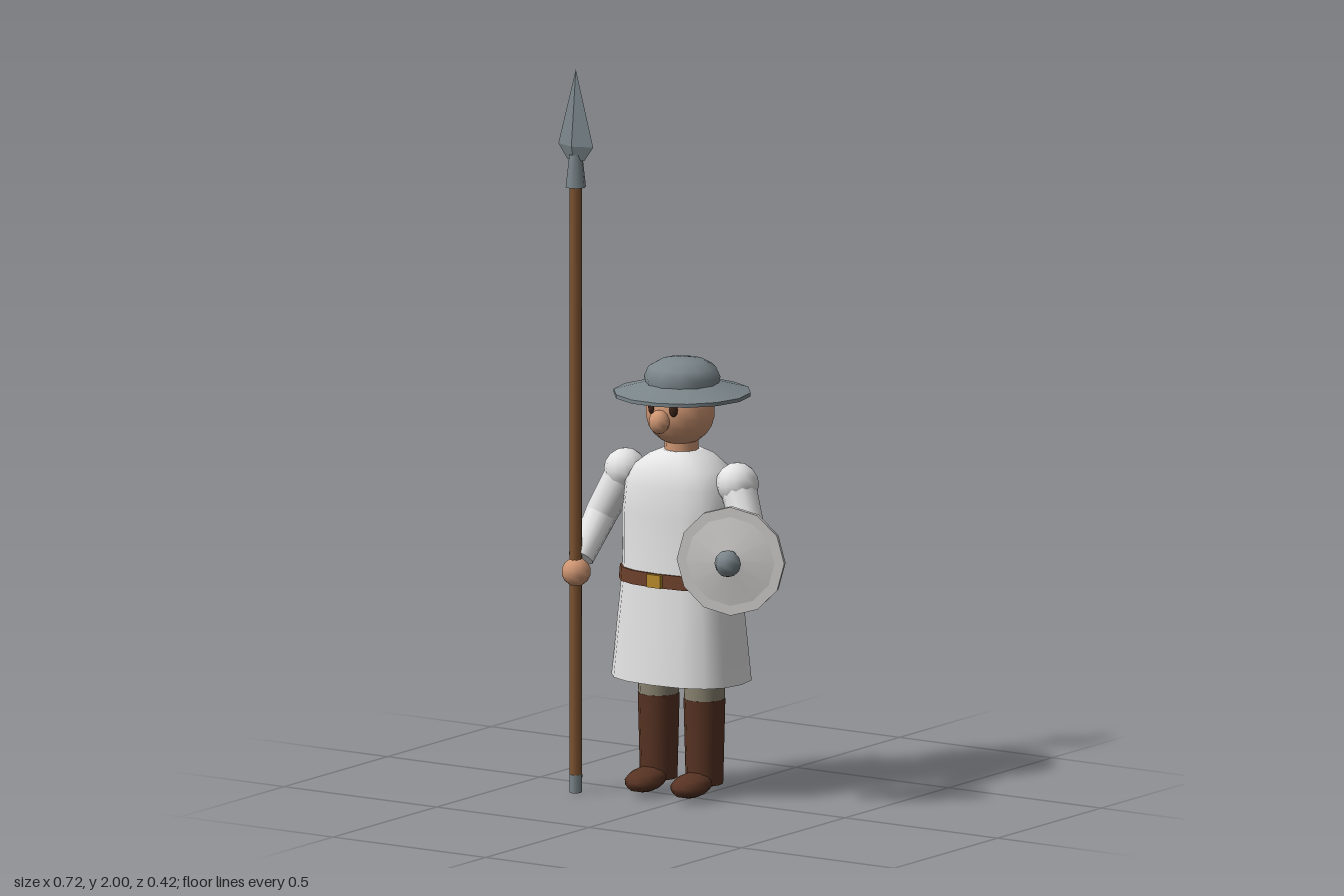
import * as THREE from 'three';

const mat = (name, color, extra) => Object.assign(new THREE.MeshStandardMaterial({ color }), { name }, extra);

export function createModel() {
  const M = {
    cloth: mat('white cloth', 0xe4e4e4),
    shield: mat('pale shield', 0xd0cecd),
    steel: mat('steel', 0x7b868b),
    skin: mat('skin', 0xcf9673),
    wood: mat('wood', 0x7d5330),
    leather: mat('belt leather', 0x6b3f2a),
    boot: mat('boot leather', 0x573323),
    trousers: mat('trousers', 0x8a8471),
    gold: mat('gold', 0xb88a2c),
    eye: mat('dark eye', 0x3a2219),
  };
  const model = new THREE.Group();
  model.name = 'spearman';
  const CX = -0.055, CZ = -0.028;

  const add = (name, geo, material, x = 0, y = 0, z = 0, parent = model) => {
    const m = new THREE.Mesh(geo, material);
    m.name = name;
    m.position.set(x, y, z);
    parent.add(m);
    return m;
  };
  const ball = (name, material, r, p, seg = 12, parent = model) =>
    add(name, new THREE.SphereGeometry(r, seg, Math.max(6, seg * 0.7 | 0)), material, ...p, parent);

  // Tapered cylinder between two points
  const limb = (name, material, a, b, ra, rb, parent, seg = 10) => {
    const A = new THREE.Vector3(...a), B = new THREE.Vector3(...b);
    const d = B.clone().sub(A);
    const m = add(name, new THREE.CylinderGeometry(rb, ra, d.length(), seg), material, 0, 0, 0, parent);
    m.position.copy(A).add(B).multiplyScalar(0.5);
    m.quaternion.setFromUnitVectors(new THREE.Vector3(0, 1, 0), d.normalize());
    return m;
  };

  // Rounded-oblong rings [y, rx, rz] joined from bottom to top, with end caps
  const loft = (rings, n = 16, power = 2.5) => {
    const pos = [], idx = [];
    const round = (v) => Math.sign(v) * Math.pow(Math.abs(v), 2 / power);
    const ring = ([y, rx, rz]) => {
      const start = pos.length / 3;
      for (let i = 0; i < n; i++) {
        const t = (i / n) * Math.PI * 2;
        pos.push(rx * round(Math.sin(t)), y, rz * round(Math.cos(t)));
      }
      return start;
    };
    const starts = rings.map(ring);
    for (let r = 0; r + 1 < starts.length; r++) {
      for (let i = 0; i < n; i++) {
        const j = (i + 1) % n, a = starts[r], b = starts[r + 1];
        idx.push(a + i, a + j, b + j, a + i, b + j, b + i);
      }
    }
    const bottom = ring(rings[0]), top = ring(rings[rings.length - 1]);
    for (let i = 1; i + 1 < n; i++) {
      idx.push(bottom, bottom + i + 1, bottom + i, top, top + i, top + i + 1);
    }
    const g = new THREE.BufferGeometry();
    g.setAttribute('position', new THREE.Float32BufferAttribute(pos, 3));
    g.setIndex(idx);
    g.computeVertexNormals();
    return g;
  };

  // Tunic, belt and buckle
  add('tunic', loft([
    [0.323, 0.197, 0.143], [0.61, 0.168, 0.12], [0.78, 0.168, 0.118], [0.86, 0.158, 0.115],
    [0.91, 0.13, 0.1], [0.942, 0.085, 0.08], [0.955, 0.055, 0.055],
  ]), M.cloth, CX, 0, CZ);
  add('belt', loft([[0.59, 0.176, 0.128], [0.628, 0.173, 0.126]]), M.leather, CX, 0, CZ);
  add('buckle', new THREE.BoxGeometry(0.044, 0.036, 0.012), M.gold, CX, 0.609, CZ + 0.13);

  // Legs and boots
  for (const side of [-1, 1]) {
    const leg = new THREE.Group();
    leg.name = side < 0 ? 'rightLeg' : 'leftLeg';
    leg.position.set(CX + side * 0.075, 0, CZ);
    model.add(leg);
    add('trouserLeg', new THREE.CylinderGeometry(0.06, 0.055, 0.16, 12), M.trousers, 0, 0.34, 0, leg);
    add('bootShaft', new THREE.CylinderGeometry(0.057, 0.051, 0.235, 12), M.boot, 0, 0.155, 0, leg);
    const foot = ball('bootFoot', M.boot, 1, [0, 0.042, 0.062], 10, leg);
    foot.scale.set(0.052, 0.032, 0.072);
    foot.rotation.x = 0.12;
  }

  // Neck, head and face
  add('neck', new THREE.CylinderGeometry(0.045, 0.048, 0.08, 12), M.skin, CX, 0.965, CZ);
  ball('head', M.skin, 0.096, [CX, 1.063, -0.022], 16);
  ball('nose', M.skin, 0.03, [CX, 1.046, 0.08], 10).scale.set(1, 1.1, 0.9);
  for (const side of [-1, 1]) {
    const eye = ball('eye', M.eye, 1, [CX + side * 0.036, 1.08, 0.064], 8);
    eye.scale.set(0.012, 0.02, 0.008);
    eye.rotation.y = side * 0.4;
  }

  // Wide-brimmed helmet
  const hat = new THREE.Group();
  hat.name = 'helmet';
  hat.position.set(CX, 0, -0.031);
  model.add(hat);
  add('brimEdge', new THREE.CylinderGeometry(0.188, 0.188, 0.01, 14), M.steel, 0, 1.109, 0, hat).rotation.y = Math.PI / 2;
  add('brimSlope', new THREE.CylinderGeometry(0.1, 0.188, 0.024, 14), M.steel, 0, 1.126, 0, hat).rotation.y = Math.PI / 2;
  const crown = [[0.098, 1.125], [0.104, 1.155], [0.092, 1.182], [0.06, 1.2], [0.018, 1.207], [0, 1.207]];
  add('crown', new THREE.LatheGeometry(crown.map(([r, y]) => new THREE.Vector2(r, y)), 12), M.steel, 0, 0, 0, hat);

  // Arms: shoulder ball, sleeve to elbow, sleeve to wrist, hand
  const arm = (name, shoulder, elbow, wrist, hand) => {
    const g = new THREE.Group();
    g.name = name;
    model.add(g);
    ball('shoulder', M.cloth, 0.059, shoulder, 12, g);
    limb('upperSleeve', M.cloth, shoulder, elbow, 0.05, 0.045, g);
    ball('elbow', M.cloth, 0.045, elbow, 10, g);
    limb('lowerSleeve', M.cloth, elbow, wrist, 0.045, 0.036, g);
    ball('hand', M.skin, 0.04, hand, 10, g);
  };
  arm('rightArm', [-0.237, 0.878, -0.025], [-0.295, 0.755, 0.005], [-0.302, 0.645, 0.095], [-0.302, 0.61, 0.117]);
  arm('leftArm', [0.13, 0.878, -0.025], [0.197, 0.75, 0.015], [0.15, 0.675, 0.1], [0.135, 0.655, 0.123]);

  // Spear
  const spear = new THREE.Group();
  spear.name = 'spear';
  spear.position.set(-0.302, 0, 0.119);
  model.add(spear);
  add('shaft', new THREE.CylinderGeometry(0.017, 0.017, 1.65, 8), M.wood, 0, 0.865, 0, spear);
  add('buttCap', new THREE.CylinderGeometry(0.018, 0.017, 0.05, 8), M.steel, 0, 0.025, 0, spear);
  add('socket', new THREE.CylinderGeometry(0.018, 0.028, 0.09, 8), M.steel, 0, 1.72, 0, spear);
  const blade = new THREE.Group();
  blade.name = 'blade';
  blade.scale.z = 0.38;
  spear.add(blade);
  const flatFaces = (g) => { const f = g.toNonIndexed(); f.computeVertexNormals(); return f; };
  add('bladePoint', flatFaces(new THREE.ConeGeometry(0.057, 0.21, 4, 1, true)), M.steel, 0, 1.895, 0, blade);
  add('bladeBase', flatFaces(new THREE.CylinderGeometry(0.057, 0.028, 0.04, 4)), M.steel, 0, 1.77, 0, blade);

  // Round shield, its axis turned toward the front left
  const shield = new THREE.Group();
  shield.name = 'shield';
  shield.position.set(0.214, 0.7, 0.129);
  shield.rotation.y = 0.362;
  model.add(shield);
  const disc = (name, rFront, rBack, depth, z) =>
    add(name, new THREE.CylinderGeometry(rFront, rBack, depth, 12), M.shield, 0, 0, z, shield).rotation.x = Math.PI / 2;
  disc('shieldRim', 0.15, 0.15, 0.016, 0);
  disc('shieldFace', 0.03, 0.123, 0.014, 0.015);
  ball('shieldBoss', M.steel, 0.037, [0, 0, 0.04], 8, shield);

  return model;
}
